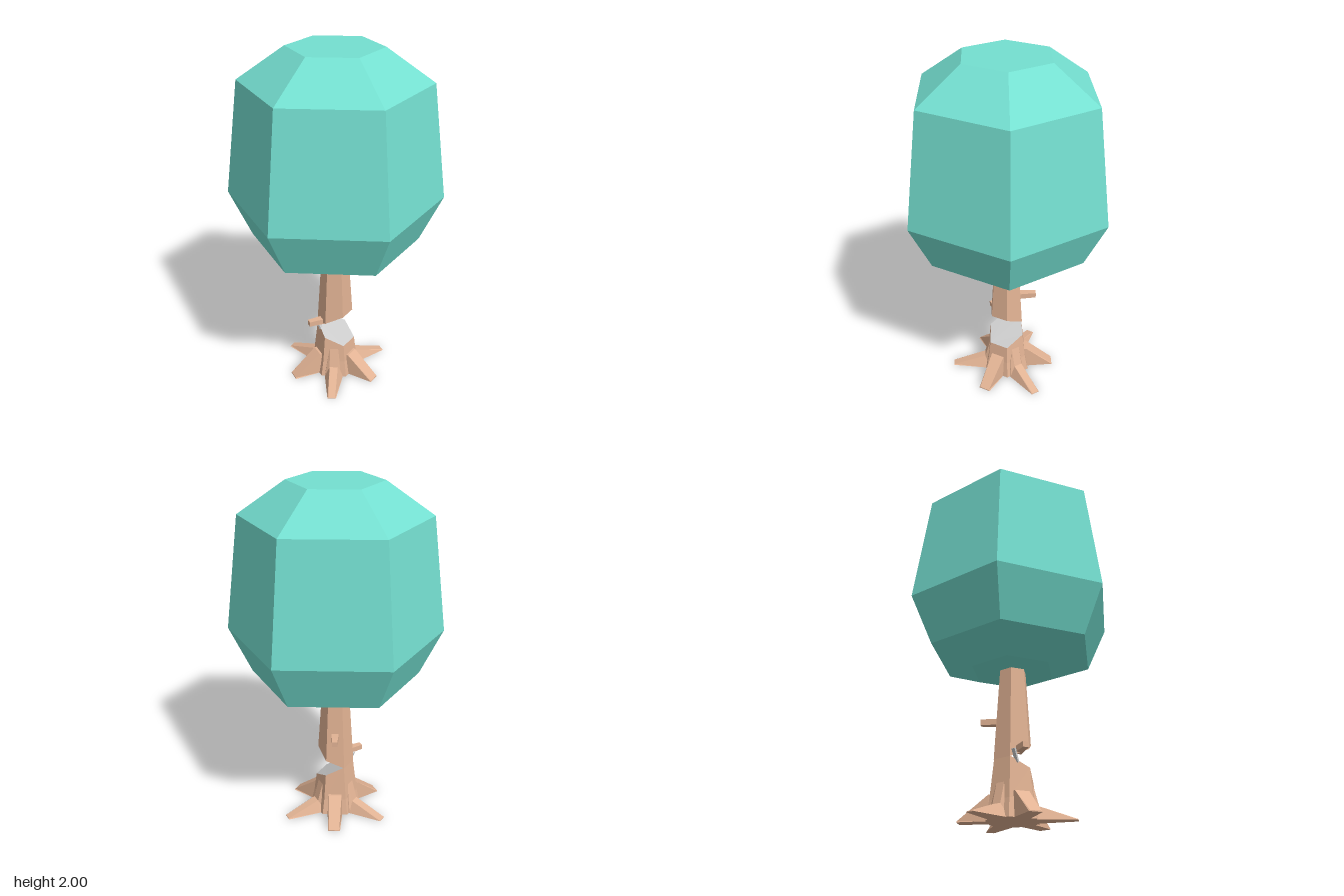
import * as THREE from 'three';

const leaf = new THREE.MeshStandardMaterial({ color: 0x74dfd0, flatShading: true });
const wood = new THREE.MeshStandardMaterial({ color: 0xe2b394, flatShading: true });
const cut = new THREE.MeshStandardMaterial({ color: 0xcccccc, flatShading: true });

// Skin a list of rings (arrays of [x, y, z]) with flat quads and optional end caps.
function loft(rings, capStart = true, capEnd = true) {
  const pos = [];
  const tri = (a, b, c) => pos.push(...a, ...b, ...c);
  for (let k = 0; k < rings.length - 1; k++) {
    const lo = rings[k], hi = rings[k + 1], n = lo.length;
    for (let i = 0; i < n; i++) {
      const j = (i + 1) % n;
      tri(lo[i], hi[i], lo[j]);
      tri(lo[j], hi[i], hi[j]);
    }
  }
  const first = rings[0], last = rings[rings.length - 1];
  for (let i = 1; i < first.length - 1; i++) {
    if (capStart) tri(first[0], first[i], first[i + 1]);
    if (capEnd) tri(last[0], last[i + 1], last[i]);
  }
  const g = new THREE.BufferGeometry();
  g.setAttribute('position', new THREE.Float32BufferAttribute(pos, 3));
  g.computeVertexNormals();
  return g;
}

// Hexagonal ring with corners on the z axis; slope tilts it along x.
function hexRing(y, r, slope = 0, taper = 0) {
  return Array.from({ length: 6 }, (_, i) => {
    const a = Math.PI / 6 + i * Math.PI / 3;
    const dy = slope * r * Math.cos(a);
    const rr = r - taper * dy;
    return [rr * Math.cos(a), y + dy, rr * Math.sin(a)];
  });
}

// Four-sided section at distance x: bottom and top heights, half widths.
const section = (x, y0, y1, w0, w1 = w0) =>
  [[x, y0, -w0], [x, y0, w0], [x, y1, w1], [x, y1, -w1]];

export function createModel() {
  const group = new THREE.Group();
  const add = (name, geometry, material, degrees = 0) => {
    const m = new THREE.Mesh(geometry, material);
    m.name = name;
    m.rotation.y = -THREE.MathUtils.degToRad(degrees);
    group.add(m);
    return m;
  };

  // Faceted crown
  const crown = [[0.82, 0.24], [0.915, 0.475], [1.18, 0.6], [1.82, 0.515], [2, 0.257]];
  add('crown', loft(crown.map(([y, r]) => hexRing(y, r))), leaf);

  // Trunk halves, meeting at the hinge of a wedge-shaped notch
  const lowerCut = hexRing(0.263, 0.111, -0.56, 0.1);
  const upperCut = hexRing(0.363, 0.106, 0.53, 0.04);
  add('lowerTrunk', loft([hexRing(0, 0.15), hexRing(0.1, 0.13), lowerCut], true, false), wood);
  add('upperTrunk', loft([upperCut, hexRing(0.84, 0.075)], false, true), wood);
  add('lowerCutFace', loft([lowerCut], false, true), cut);
  add('upperCutFace', loft([upperCut], true, false), cut);

  // Blunt wedge roots alternate with longer flared ones
  for (let i = 0; i < 6; i++) {
    const geometry = i % 2 === 0
      ? loft([section(0.08, 0, 0.135, 0.045, 0.042), section(0.122, 0, 0.135, 0.045, 0.04),
        section(0.285, 0, 0.006, 0.035, 0.03)])
      : loft([section(0.08, 0, 0.21, 0.06, 0.03), section(0.1, 0, 0.2, 0.06, 0.025),
        section(0.135, 0, 0.072, 0.055, 0.025), section(0.332, 0, 0.004, 0.025, 0.02)]);
    add('root', geometry, wood, i * 60);
  }

  // Broken branch stubs
  const stub = (y) => loft([section(0.06, y - 0.018, y + 0.016, 0.022),
    section(0.13, y - 0.014, y + 0.018, 0.018), section(0.175, y - 0.012, y + 0.018, 0.016)]);
  add('frontBranch', stub(0.357), wood, 120);
  add('backBranch', stub(0.53), wood, 240);

  // Splinter left at the hinge
  const splinter = add('splinter', new THREE.BoxGeometry(0.012, 0.075, 0.02), cut);
  splinter.position.set(-0.07, 0.32, 0.07);
  splinter.rotation.z = 0.4;

  return group;
}
